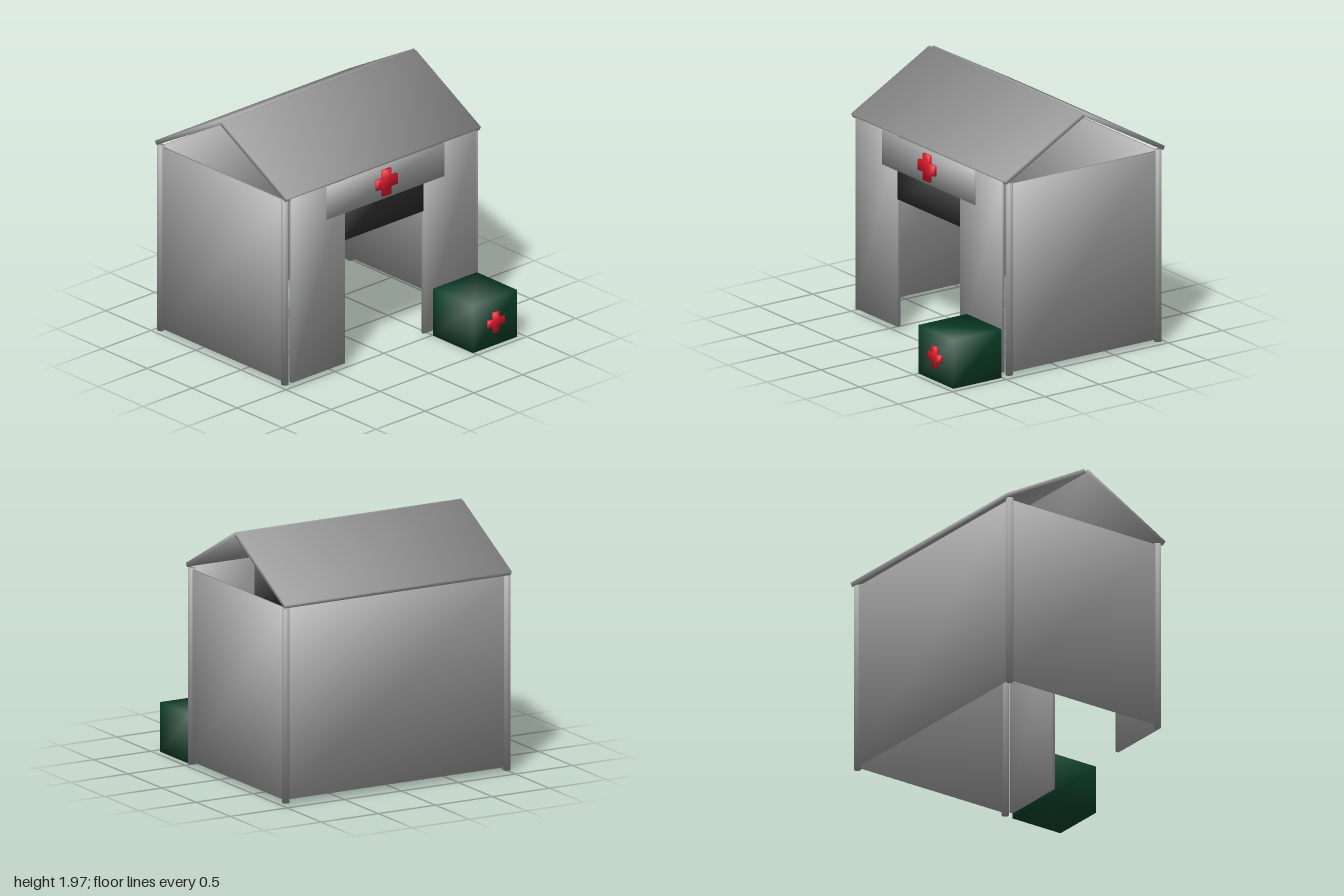
import * as THREE from 'three';

const grey = new THREE.MeshStandardMaterial({ color: 0xa8a8a8 });
const dark = new THREE.MeshStandardMaterial({ color: 0x303030 });
const red = new THREE.MeshStandardMaterial({ color: 0xe4182c });
const green = new THREE.MeshStandardMaterial({ color: 0x0c432b });

// Shades a geometry smoothly across all its edges, weighting faces by corner angle
function smooth(source) {
  const geometry = source.index ? source.toNonIndexed() : source;
  const position = geometry.attributes.position;
  const normal = geometry.attributes.normal;
  const point = (i) => new THREE.Vector3().fromBufferAttribute(position, i);
  const key = (i) => point(i).toArray().map((v) => Math.round(v * 1e4)).join();
  const sums = new Map();
  for (let i = 0; i < position.count; i++) {
    const first = i - (i % 3);
    const p = point(i);
    const u = point(first + ((i + 1) % 3)).sub(p);
    const v = point(first + ((i + 2) % 3)).sub(p);
    const face = new THREE.Vector3().crossVectors(u, v).normalize();
    const k = key(i);
    if (!sums.has(k)) sums.set(k, new THREE.Vector3());
    sums.get(k).addScaledVector(face, u.angleTo(v));
  }
  for (const sum of sums.values()) sum.normalize();
  for (let i = 0; i < position.count; i++) {
    const n = sums.get(key(i));
    normal.setXYZ(i, n.x, n.y, n.z);
  }
  return geometry;
}

export function createModel() {
  const model = new THREE.Group();

  const add = (name, geometry, material, x, y, z) => {
    const mesh = new THREE.Mesh(smooth(geometry), material);
    mesh.name = name;
    mesh.position.set(x, y, z);
    model.add(mesh);
    return mesh;
  };

  // Box given by its extents along each axis
  const block = (name, material, [x0, x1], [y0, y1], [z0, z1]) =>
    add(name, new THREE.BoxGeometry(x1 - x0, y1 - y0, z1 - z0), material,
      (x0 + x1) / 2, (y0 + y1) / 2, (z0 + z1) / 2);

  // Corner posts and side walls
  for (const [side, s] of [['left', 1], ['right', -1]]) {
    for (const [end, z] of [['Front', 0.452], ['Back', -0.925]]) {
      add(side + end + 'Post', new THREE.CylinderGeometry(0.028, 0.028, 1.52, 16), grey, s * 0.968, 0.78, z);
    }
    block(side + 'Wall', grey, [s * 0.968 - 0.008, s * 0.968 + 0.008], [0.04, 1.53], [-0.925, 0.452]);
  }

  // Back wall, and front wall with a doorway
  block('backWall', grey, [-0.968, 0.968], [0.045, 1.53], [-0.933, -0.917]);
  block('frontWallRight', grey, [-0.945, -0.4], [0.04, 1.55], [0.476, 0.504]);
  block('frontWallLeft', grey, [0.405, 0.945], [0.04, 1.55], [0.476, 0.504]);
  block('doorHeader', dark, [-0.4, 0.405], [1.05, 1.54], [0.478, 0.502]);

  // Pitched roof: two slabs leaning on each other, given as [z, y] eave and ridge
  const roofSlab = (name, x, [ez, ey], [rz, ry]) => {
    const slab = add(name, new THREE.BoxGeometry(1.985, 0.034, Math.hypot(ez - rz, ey - ry)), grey,
      x, (ey + ry) / 2, (ez + rz) / 2);
    slab.rotation.x = Math.atan((ry - ey) / (ez - rz));
  };
  roofSlab('frontRoof', -0.005, [0.498, 1.554], [-0.225, 1.953]);
  roofSlab('backRoof', 0.005, [-0.962, 1.552], [-0.237, 1.953]);

  // Plus-shaped emblem: arm reach a, half arm width b
  const cross = (name, a, b, x, y, z) => {
    const outline = [[-b, -a], [b, -a], [b, -b], [a, -b], [a, b], [b, b],
      [b, a], [-b, a], [-b, b], [-a, b], [-a, -b], [-b, -b]];
    const shape = new THREE.Shape(outline.map(([px, py]) => new THREE.Vector2(px, py)));
    add(name, new THREE.ExtrudeGeometry(shape, { depth: 0.022, bevelEnabled: false }), red, x, y, z);
  };

  // Sign over the door
  block('sign', grey, [-0.59, 0.606], [1.28, 1.55], [0.485, 0.513]);
  cross('signCross', 0.106, 0.042, 0.007, 1.415, 0.511);

  // Supply crate beside the door
  block('crate', green, [0.497, 0.947], [0, 0.385], [0.505, 0.952]);
  cross('crateCross', 0.083, 0.03, 0.72, 0.193, 0.95);

  return model;
}
